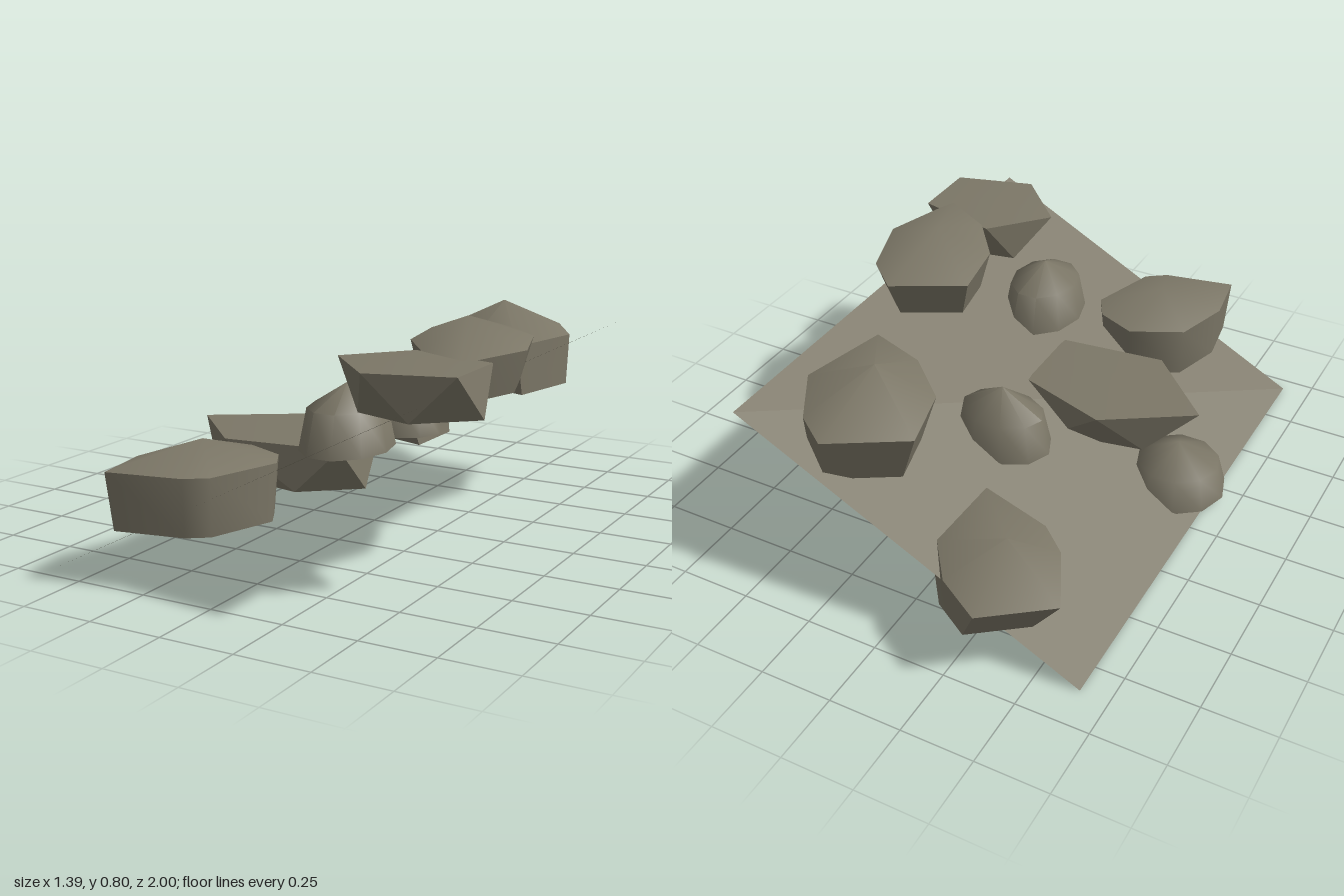
import * as THREE from 'three';
import { toCreasedNormals } from 'three/addons/utils/BufferGeometryUtils.js';

// Closed rock: apex point, shoulder ring, base ring, bottom point. Rings are [x, z] lists.
function rockGeometry(apex, shoulder, shoulderY, base, baseY, bottom, crease) {
  const n = shoulder.length;
  const pos = [...apex, ...bottom];
  shoulder.forEach(([x, z]) => pos.push(x, shoulderY, z));
  base.forEach(([x, z]) => pos.push(x, baseY, z));
  const index = [];
  for (let i = 0; i < n; i++) {
    const j = (i + 1) % n;
    const u = 2 + i, u2 = 2 + j, l = 2 + n + i, l2 = 2 + n + j;
    index.push(0, u2, u, u, u2, l, u2, l2, l, 1, l, l2);
  }
  const geo = new THREE.BufferGeometry();
  geo.setAttribute('position', new THREE.Float32BufferAttribute(pos, 3));
  geo.setIndex(index);
  return toCreasedNormals(geo, crease);
}

const scaleRing = (ring, cx, cz, s, dx) =>
  ring.map(([x, z]) => [cx + (x - cx) * s + dx, cz + (z - cz) * s]);

function ellipse(cx, cz, rx, rz, n = 10) {
  return Array.from({ length: n }, (_, i) => {
    const a = (i / n) * Math.PI * 2;
    return [cx + Math.cos(a) * rx, cz + Math.sin(a) * rz];
  });
}

export function createModel() {
  const group = new THREE.Group();
  const stone = new THREE.MeshStandardMaterial({ color: 0x7c7767 });
  stone.name = 'stone';
  const ground = new THREE.MeshStandardMaterial({ color: 0x7c7767, side: THREE.DoubleSide });
  ground.name = 'ground stone';

  const add = (name, geo, mat = stone) => {
    const mesh = new THREE.Mesh(geo, mat);
    mesh.name = name;
    group.add(mesh);
  };

  // Sloping sheet, rising towards +x
  const slope = new THREE.PlaneGeometry(1.22, 1.805).rotateX(-Math.PI / 2);
  const p = slope.attributes.position;
  for (let i = 0; i < p.count; i++) p.setY(i, (p.getX(i) / 1.22 + 0.5) * 0.63);
  slope.translate(-0.04, 0, 0.0425);
  slope.computeVertexNormals();
  add('slope', slope, ground);

  // Large boulders: low domed top, hard shoulder, undercut sides
  const boulders = [
    { name: 'backLeftBoulder', apex: [-0.33, 0.38, -0.73], sy: 0.29, by: 0.15, drop: 0.02, s: 0.82, dx: 0.06,
      ring: [[-0.36, -1], [-0.2, -0.9], [-0.09, -0.75], [-0.1, -0.45], [-0.36, -0.53], [-0.46, -0.62], [-0.57, -0.84]] },
    { name: 'backRightBoulder', apex: [0.24, 0.73, -0.55], sy: 0.62, by: 0.44, drop: 0.025, s: 0.85, dx: 0.03,
      ring: [[0.25, -0.86], [0.37, -0.77], [0.49, -0.57], [0.42, -0.26], [0.22, -0.33], [0.06, -0.48], [0, -0.71]] },
    { name: 'upperBoulder', apex: [0.45, 0.8, 0.2], sy: 0.715, by: 0.575, drop: 0.025, s: 0.8, dx: 0,
      ring: [[0.47, -0.11], [0.59, 0], [0.67, 0.24], [0.58, 0.53], [0.4, 0.42], [0.27, 0.25], [0.23, 0.02]] },
    { name: 'frontBoulder', apex: [-0.2, 0.44, 0.74], sy: 0.37, by: 0.18, drop: 0.025, s: 0.93, dx: 0,
      ring: [[-0.17, 0.51], [-0.03, 0.57], [0.02, 0.66], [-0.06, 0.9], [-0.13, 0.95], [-0.38, 1], [-0.41, 0.8], [-0.35, 0.6]] },
  ];
  for (const { name, apex, sy, by, drop, s, dx, ring } of boulders) {
    const base = scaleRing(ring, apex[0], apex[2], s, dx);
    add(name, rockGeometry(apex, ring, sy, base, by, [apex[0] + dx, by - drop, apex[2]], 0.9));
  }

  // Flat-topped slabs: pentagon top over a turned pentagon base
  add('middleSlab', rockGeometry([-0.2, 0.36, 0.21],
    [[-0.29, -0.02], [0.075, 0.1], [0.075, 0.37], [-0.34, 0.42], [-0.59, 0.17]], 0.35,
    [[-0.1, 0.03], [0.105, 0.25], [-0.08, 0.4], [-0.43, 0.33], [-0.42, 0.09]], 0.195,
    [-0.18, 0.16, 0.22], 0.4));
  add('upperSlab', rockGeometry([0.45, 0.73, 0.59],
    [[0.37, 0.4], [0.66, 0.47], [0.66, 0.71], [0.39, 0.79], [0.2, 0.59]], 0.715,
    [[0.5, 0.44], [0.69, 0.59], [0.52, 0.74], [0.32, 0.68], [0.3, 0.48]], 0.57,
    [0.47, 0.55, 0.59], 0.4));

  // Small round stones
  const stones = [
    ['lowerStone', -0.525, 0.17, 0.175, 0.178, 0.03, 0.14, 0.215],
    ['middleStone', -0.022, -0.195, 0.177, 0.137, 0.29, 0.42, 0.51],
    ['upperStone', 0.16, 0.465, 0.142, 0.187, 0.395, 0.53, 0.605],
  ];
  for (const [name, x, z, rx, rz, by, sy, ty] of stones) {
    add(name, rockGeometry([x, ty, z], ellipse(x, z, rx * 0.84, rz * 0.8), sy,
      ellipse(x, z, rx, rz), by, [x, by - 0.015, z], 1));
  }
  return group;
}
